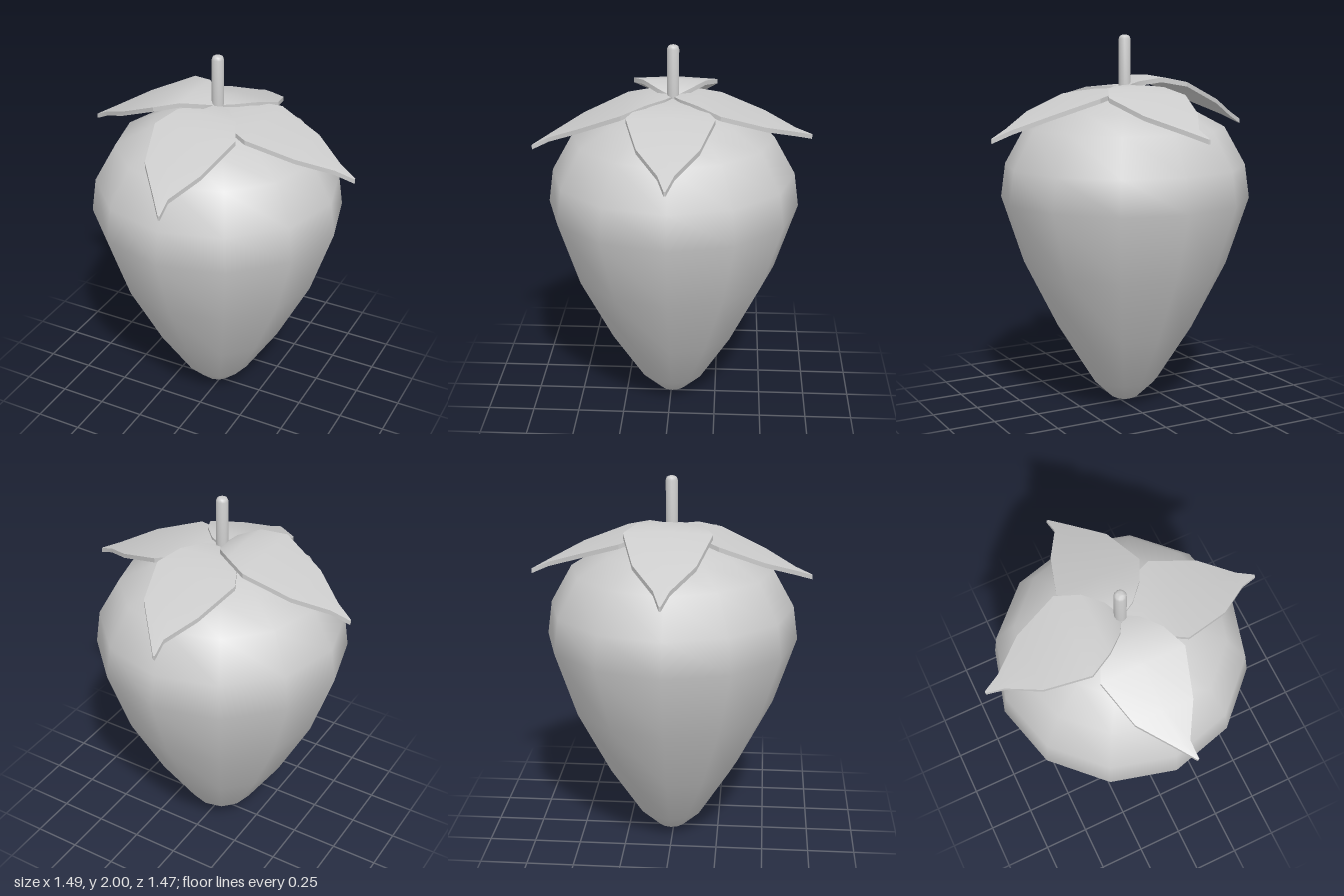
import * as THREE from 'three';
import { toCreasedNormals } from 'three/addons/utils/BufferGeometryUtils.js';

const CX = -0.02, CZ = -0.01;
const lathe = (pts, sides) => new THREE.LatheGeometry(pts.map(([r, y]) => new THREE.Vector2(r, y)), sides);

// Shared leaf outline: distance from the stem, half width, share of the sideways tip bend
const OUTLINE = [
  [0, 0.015, 0], [0.04, 0.085, 0], [0.13, 0.165, 0], [0.25, 0.225, 0],
  [0.48, 0.155, 0.04], [0.64, 0.04, 0.38], [0.73, 0.005, 1],
];

// A thin leaf along +x, lofted through six-point cross-sections
function leafGeometry(heights, bend, stretch) {
  const pos = [], index = [], t = 0.024, drop = 0.012;
  OUTLINE.forEach(([u, w, k], i) => {
    const y = heights[i], x = u * stretch, z = bend * k;
    const d = drop * w / 0.225;
    pos.push(x, y - d, z - w, x, y, z, x, y - d, z + w);
    pos.push(x, y - d - t, z + w, x, y - t, z, x, y - d - t, z - w);
  });
  const last = (OUTLINE.length - 1) * 6;
  for (let i = 0; i < last; i += 6) {
    for (let j = 0; j < 6; j++) {
      const a = i + j, b = i + (j + 1) % 6;
      index.push(a, b, a + 6, b, b + 6, a + 6);
    }
  }
  for (let j = 1; j < 5; j++) {
    index.push(0, j + 1, j, last, last + j, last + j + 1);
  }
  const geo = new THREE.BufferGeometry();
  geo.setAttribute('position', new THREE.Float32BufferAttribute(pos, 3));
  geo.setIndex(index);
  return toCreasedNormals(geo, 0.7);
}

export function createModel() {
  const group = new THREE.Group();
  const material = new THREE.MeshStandardMaterial({ color: 0xcccccc });
  const add = (name, geo, angle = 0) => {
    const mesh = new THREE.Mesh(geo, material);
    mesh.name = name;
    mesh.position.set(CX, 0, CZ);
    mesh.rotation.y = angle;
    group.add(mesh);
  };

  // Twelve-sided tapering fruit
  add('fruitBody', lathe([
    [0, 0], [0.075, 0.03], [0.18, 0.13], [0.365, 0.42], [0.548, 0.78], [0.667, 1.14],
    [0.642, 1.32], [0.53, 1.52], [0.36, 1.61], [0.18, 1.69], [0, 1.71],
  ], 12));

  // Stem with a rounded top
  add('stem', toCreasedNormals(lathe([
    [0, 1.68], [0.031, 1.68], [0.031, 1.98], [0.026, 1.994], [0.015, 2], [0, 2],
  ], 12), 0.9));

  // Four overlapping leaves: name, turn, heights along the midrib, tip bend, stretch
  const leaves = [
    ['leftLeaf', 0, [1.722, 1.724, 1.722, 1.7, 1.615, 1.535, 1.49], 0, 1.04],
    ['backLeaf', Math.PI / 2, [1.735, 1.742, 1.738, 1.705, 1.625, 1.555, 1.515], -0.07, 1],
    ['rightLeaf', Math.PI, [1.735, 1.765, 1.79, 1.77, 1.665, 1.58, 1.53], 0, 1],
    ['frontLeaf', -Math.PI / 2, [1.735, 1.74, 1.735, 1.7, 1.6, 1.52, 1.475], -0.065, 1.01],
  ];
  for (const [name, angle, heights, bend, stretch] of leaves) {
    add(name, leafGeometry(heights, bend, stretch), angle);
  }
  return group;
}
